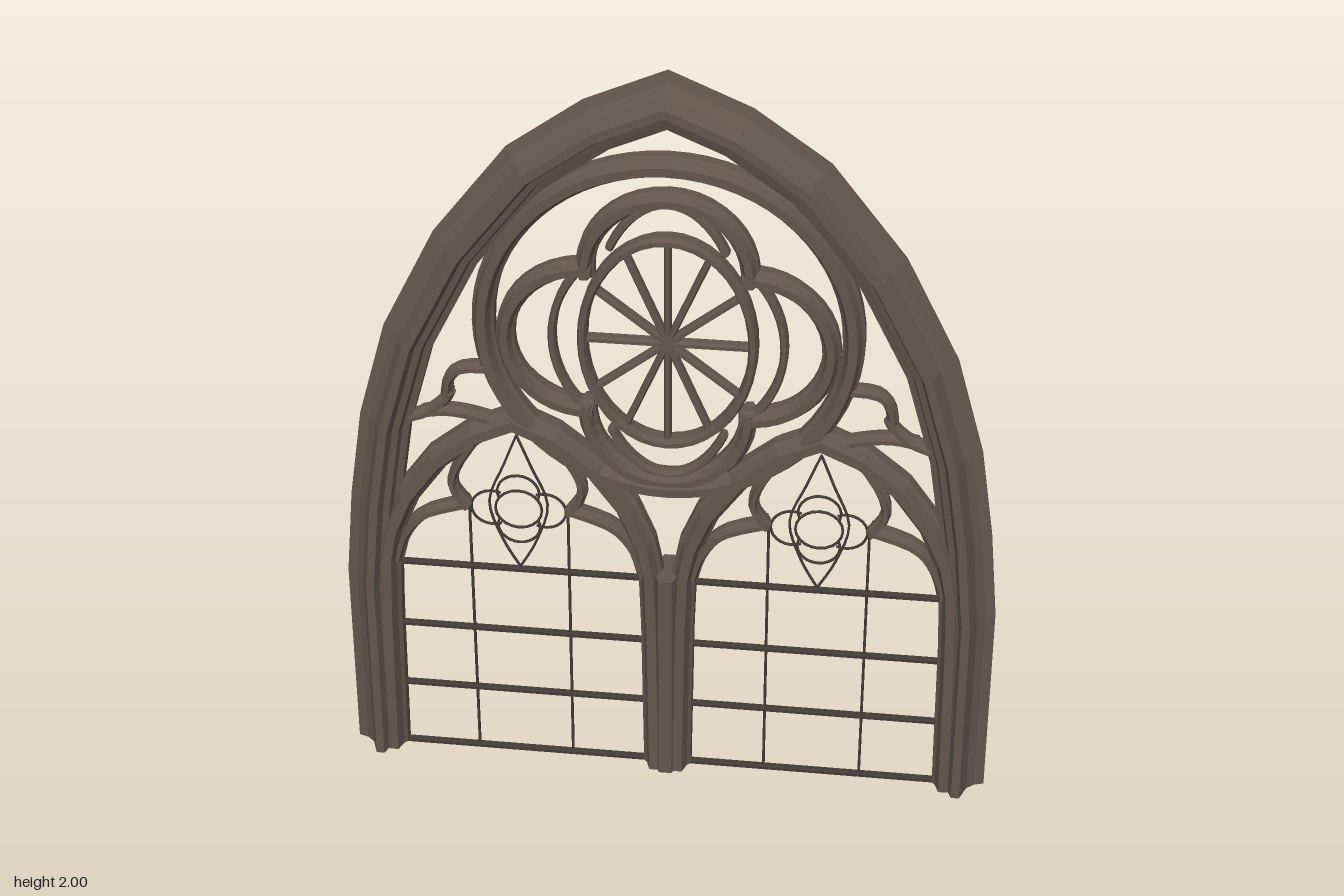
import * as THREE from 'three';

const stone = new THREE.MeshStandardMaterial({ color: 0x62564d, flatShading: true });
stone.name = 'brown stone';
const lead = new THREE.MeshStandardMaterial({ color: 0x423a35, flatShading: true });
lead.name = 'dark lead';

// Full moulding section from its front half: [offset, depth] from outer to inner edge
const section = half => [...half, ...half.map(([n, z]) => [n, -z]).reverse()];
const moulding = (w, d) => section([
  [w / 2, d * 0.3], [w * 0.36, d * 0.45], [w * 0.2, d], [-w * 0.2, d], [-w * 0.36, d * 0.45], [-w / 2, d * 0.3]]);
const bar = (w, d) => section([[w / 2, d * 0.5], [w * 0.25, d], [-w * 0.25, d], [-w / 2, d * 0.5]]);

// Sweep a section along a flat path with mitred corners
function sweep(points, profile, closed = false) {
  const P = points.map(p => new THREE.Vector2(p[0], p[1]));
  const N = P.length, m = profile.length, pos = [];
  const dir = (a, b) => P[b].clone().sub(P[a]).normalize();
  const rings = P.map((p, i) => {
    const prev = closed || i > 0 ? dir((i + N - 1) % N, i) : dir(0, 1);
    const next = closed || i < N - 1 ? dir(i, (i + 1) % N) : prev;
    const t = prev.clone().add(next).normalize();
    const k = 1 / Math.max(0.5, t.dot(next));
    return profile.map(([o, z]) => [p.x - t.y * o * k, p.y + t.x * o * k, z]);
  });
  const tri = (a, b, c) => pos.push(...a, ...b, ...c);
  for (let i = 0; i < (closed ? N : N - 1); i++) {
    const A = rings[i], B = rings[(i + 1) % N];
    for (let j = 0; j < m; j++) {
      const k = (j + 1) % m;
      tri(A[j], A[k], B[k]);
      tri(A[j], B[k], B[j]);
    }
  }
  if (!closed) {
    const flat = profile.map(p => new THREE.Vector2(p[0], p[1]));
    for (const [a, b, c] of THREE.ShapeUtils.triangulateShape(flat, [])) {
      const S = rings[0], E = rings[N - 1];
      tri(S[c], S[b], S[a]);
      tri(E[a], E[b], E[c]);
    }
  }
  const g = new THREE.BufferGeometry();
  g.setAttribute('position', new THREE.Float32BufferAttribute(pos, 3));
  g.computeVertexNormals();
  return g;
}

// Points on an elliptical arc, angles in degrees
function arc(cx, cy, rx, ry, from, to, n) {
  const out = [];
  for (let i = 0; i <= n; i++) {
    const a = THREE.MathUtils.degToRad(from + (to - from) * i / n);
    out.push([cx + rx * Math.cos(a), cy + ry * Math.sin(a)]);
  }
  return out;
}
const ellipse = (cx, cy, rx, ry, n) => arc(cx, cy, rx, ry, 0, 360, n).slice(0, -1);
const smooth = (pts, n) => new THREE.SplineCurve(pts.map(p => new THREE.Vector2(...p))).getPoints(n).map(p => [p.x, p.y]);
// Full arch from its right half, listed from base to apex
const arch = (cx, half) => [
  ...half.map(([u, y]) => [cx - u, y]), ...half.slice(0, -1).reverse().map(([u, y]) => [cx + u, y])];

export function createModel() {
  const root = new THREE.Group();
  root.name = 'tracery window';
  const add = (name, geo, mat = stone, parent = root) => {
    const mesh = new THREE.Mesh(geo, mat);
    mesh.name = name;
    parent.add(mesh);
    return mesh;
  };

  // Outer pointed frame with hollow mouldings
  const outer = [[0.84, 0.01], [0.838, 0.55], [0.815, 0.79], [0.778, 1.03], [0.705, 1.285],
    [0.57, 1.55], [0.385, 1.785], [0.2, 1.915], [0, 2]];
  add('outerFrame', sweep(arch(0, outer), section([
    [0, 0.004], [-0.025, 0.012], [-0.045, 0.03], [-0.062, 0.075], [-0.083, 0.075],
    [-0.092, 0.05], [-0.108, 0.045], [-0.114, 0.026], [-0.13, 0.02]])));

  // Central mullion
  add('mullion', sweep([[0, 0.01], [0, 0.62]], moulding(0.085, 0.065)));

  // Great ring and its quatrefoil
  const cy = 1.285;
  add('greatRing', sweep(ellipse(0, 1.32, 0.453, 0.442, 64), moulding(0.055, 0.05), true));
  const rose = new THREE.Group();
  rose.name = 'rose';
  root.add(rose);
  for (let i = 0; i < 4; i++) {
    const a = i * 90, r = a * Math.PI / 180;
    add('roseLobe', sweep(arc(0.2 * Math.cos(r), cy + 0.195 * Math.sin(r), 0.2, 0.195, a - 95, a + 95, 20),
      moulding(0.046, 0.042)), stone, rose);
    const inner = i % 2 ? arc(0, cy, 0.19, 0.375, a - 48, a + 48, 16) : arc(0, cy, 0.285, 0.285, a - 45, a + 45, 16);
    add('innerFoil', sweep(inner, bar(0.02, 0.022)), stone, rose);
  }

  // Oval wheel with spokes
  add('wheelRim', sweep(ellipse(0, cy, 0.21, 0.28, 40), bar(0.024, 0.03), true), stone, rose);
  for (let i = 0; i < 6; i++) {
    const a = i * Math.PI / 6, x = 0.21 * Math.cos(a), y = 0.28 * Math.sin(a);
    add('spoke', sweep([[-x, cy - y], [x, cy + y]], bar(0.017, 0.018)), stone, rose);
  }

  // Two lancets, mirrored
  const lancet = [[0.352, 0.01], [0.346, 0.45], [0.34, 0.62], [0.322, 0.71], [0.28, 0.81],
    [0.2, 0.92], [0.1, 1.0], [0, 1.045]];
  for (const s of [-1, 1]) {
    const side = new THREE.Group();
    side.name = s > 0 ? 'leftLancet' : 'rightLancet';
    root.add(side);
    const cx = 0.383 * s;
    add('lancetArch', sweep(arch(cx, lancet), moulding(0.062, 0.055)), stone, side);

    // Cusps inside the arch
    for (const m of [-1, 1]) {
      const to = pts => pts.map(([u, y]) => [cx + m * u, y]);
      add('lowerCusp', sweep(to(smooth([[0.32, 0.6], [0.295, 0.68], [0.24, 0.745], [0.13, 0.785]], 10)),
        moulding(0.03, 0.03)), stone, side);
      add('upperCusp', sweep(to(smooth([[0.13, 0.775], [0.165, 0.83], [0.155, 0.89], [0.11, 0.965]], 8)),
        moulding(0.026, 0.03)), stone, side);
      // Curved side of the leaded diamond
      add('diamondLead', sweep(to(smooth([[0, 0.99], [0.035, 0.9], [0.075, 0.79], [0.045, 0.68], [0, 0.595]], 16)),
        bar(0.006, 0.004)), lead, side);
      add('verticalLead', sweep(to([[0.127, 0.005], [0.127, 0.785]]), bar(0.007, 0.004)), lead, side);
    }

    // Horizontal glazing bars
    [0.008, 0.2, 0.393, 0.587].forEach(y =>
      add('glazingBar', sweep([[cx - 0.335, y], [cx + 0.335, y]], bar(0.015, 0.01)), lead, side));

    // Small leaded quatrefoil
    for (let i = 0; i < 4; i++) {
      const r = i * Math.PI / 2;
      add('smallLobe', sweep(arc(cx + 0.068 * Math.cos(r), 0.77 + 0.05 * Math.sin(r), 0.054, 0.05,
        i * 90 - 115, i * 90 + 115, 16), bar(0.006, 0.004)), lead, side);
    }
    add('smallRing', sweep(ellipse(cx, 0.77, 0.06, 0.055, 20), bar(0.006, 0.004), true), lead, side);

    // Cusped filler between the frame and the ring
    const filler = pts => sweep(smooth(pts, 8).map(([x, y]) => [x * s, y]), moulding(0.028, 0.028));
    add('spandrelCusp', filler([[0.65, 1.03], [0.6, 1.05], [0.56, 1.085], [0.545, 1.11]]), stone, side);
    add('spandrelLobe', filler([[0.555, 1.1], [0.545, 1.15], [0.51, 1.18], [0.43, 1.185]]), stone, side);
    add('spandrelFoot', filler([[0.62, 1.045], [0.56, 1.055], [0.5, 1.05], [0.42, 1.03]]), stone, side).visible = true;
  }
  return root;
}
